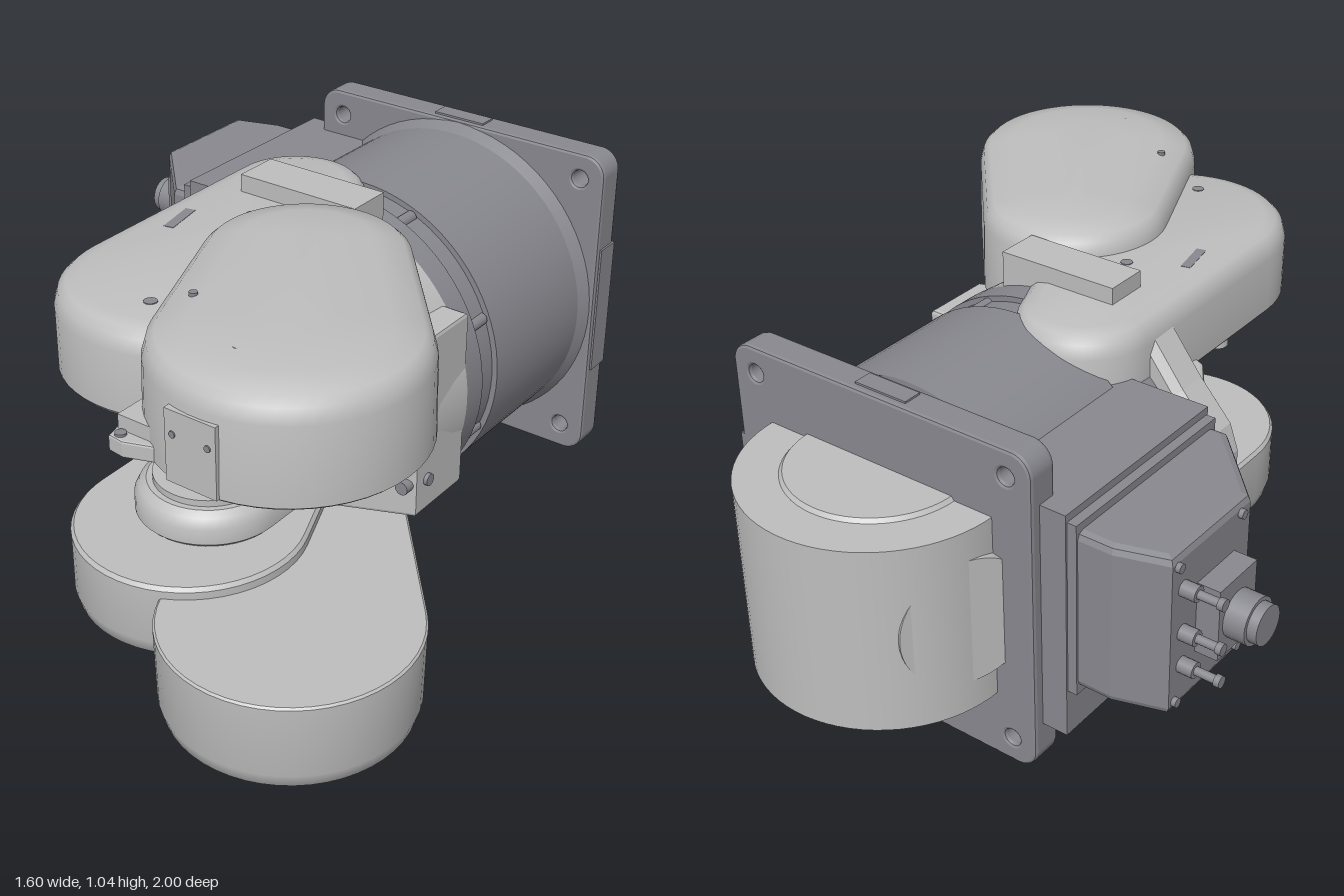
import * as THREE from 'three';
import { toCreasedNormals } from 'three/addons/utils/BufferGeometryUtils.js';

const MID = 0.52, CX = 0.09; // mirror height and main axis

// Outline around two circles [x, z, r], shrunk by an inset
function hull([x1, z1, r1], [x2, z2, r2], inset, n = 28) {
  const th = Math.atan2(z2 - z1, x2 - x1);
  const ph = Math.acos((r1 - r2) / Math.hypot(x2 - x1, z2 - z1));
  const pts = [];
  const arc = (x, z, r, a, b) => {
    for (let i = 0; i <= n; i++) {
      const t = a + (b - a) * i / n;
      pts.push([x + Math.cos(t) * (r - inset), z + Math.sin(t) * (r - inset)]);
    }
  };
  arc(x2, z2, r2, th - ph, th + ph);
  arc(x1, z1, r1, th + ph, th + 2 * Math.PI - ph);
  return pts;
}

// Stack of hull outlines; layers are [y, inset] from bottom to top
function loft(c1, c2, layers) {
  const rings = layers.map(([y, d]) => hull(c1, c2, d).map(([x, z]) => [x, y, z]));
  const pos = [], n = rings[0].length;
  const tri = (...p) => p.forEach(v => pos.push(...v));
  const middle = y => [(c1[0] + c2[0]) / 2, y, (c1[1] + c2[1]) / 2];
  const lo = rings[0], hi = rings[rings.length - 1];
  for (let j = 0; j < n; j++) {
    const k = (j + 1) % n;
    for (let i = 0; i + 1 < rings.length; i++) {
      const a = rings[i][j], b = rings[i][k], c = rings[i + 1][k], d = rings[i + 1][j];
      tri(a, d, b);
      tri(b, d, c);
    }
    tri(middle(lo[0][1]), lo[j], lo[k]);
    tri(middle(hi[0][1]), hi[k], hi[j]);
  }
  const g = new THREE.BufferGeometry();
  g.setAttribute('position', new THREE.Float32BufferAttribute(pos, 3));
  return toCreasedNormals(g, 0.6);
}

const flip = layers => layers.map(([y, d]) => [2 * MID - y, d]).reverse();

// Extrude an xz outline between two heights
function slab(pts, y0, y1, bevel = 0.01) {
  const s = new THREE.Shape(pts.map(([x, z]) => new THREE.Vector2(x, -z)));
  const g = new THREE.ExtrudeGeometry(s, {
    depth: y1 - y0 - 2 * bevel, bevelSize: bevel, bevelThickness: bevel, bevelOffset: -bevel, bevelSegments: 2 });
  return g.rotateX(-Math.PI / 2).translate(0, y0 + bevel, 0);
}

function roundRect(x0, y0, x1, y1, r) {
  const s = new THREE.Shape();
  s.moveTo(x0 + r, y0);
  s.lineTo(x1 - r, y0); s.absarc(x1 - r, y0 + r, r, -Math.PI / 2, 0);
  s.lineTo(x1, y1 - r); s.absarc(x1 - r, y1 - r, r, 0, Math.PI / 2);
  s.lineTo(x0 + r, y1); s.absarc(x0 + r, y1 - r, r, Math.PI / 2, Math.PI);
  s.lineTo(x0, y0 + r); s.absarc(x0 + r, y0 + r, r, Math.PI, Math.PI * 1.5);
  return s;
}

export function createModel() {
  const root = new THREE.Group();
  root.name = 'jointedArm';
  const light = new THREE.MeshStandardMaterial({ color: 0xbebebe, name: 'light grey' });
  const dark = new THREE.MeshStandardMaterial({ color: 0x88888f, name: 'dark grey' });

  const add = (name, geo, mat, x = 0, y = 0, z = 0) => {
    const m = new THREE.Mesh(geo, mat);
    m.name = name;
    m.position.set(x, y, z);
    root.add(m);
    return m;
  };
  const box = (name, mat, x0, x1, y0, y1, z0, z1) =>
    add(name, new THREE.BoxGeometry(x1 - x0, y1 - y0, z1 - z0), mat, (x0 + x1) / 2, (y0 + y1) / 2, (z0 + z1) / 2);
  const cyl = (name, mat, axis, rTop, rBottom, h, x, y, z, n = 48) => {
    const g = new THREE.CylinderGeometry(rTop, rBottom, h, n);
    if (axis === 'z') g.rotateX(Math.PI / 2);
    if (axis === 'x') g.rotateZ(Math.PI / 2);
    return add(name, g, mat, x, y, z);
  };

  // Mounting plate with corner holes
  const plate = roundRect(-0.355, 0.08, 0.535, 0.96, 0.055);
  for (const x of [-0.285, 0.465]) for (const y of [0.15, 0.89]) {
    const h = new THREE.Path();
    h.absarc(x, y, 0.022, 0, Math.PI * 2, true);
    plate.holes.push(h);
  }
  add('mountingPlate', new THREE.ExtrudeGeometry(plate, {
    depth: 0.065, bevelSize: 0.008, bevelThickness: 0.01, bevelOffset: -0.008, bevelSegments: 2 }), dark, 0, 0, -0.66);
  box('plateTopPad', dark, 0.01, 0.16, 0.95, 0.965, -0.65, -0.6);
  box('plateSidePad', dark, 0.45, 0.54, 0.34, 0.7, -0.67, -0.6);

  // Rear drum
  cyl('rearDrum', light, 'y', 0.335, 0.335, 0.5, CX, MID, -0.665, 72);
  cyl('rearDrumCap', light, 'y', 0.22, 0.23, 0.012, CX, 0.774, -0.665, 64);
  const side = cyl('rearDrumSideCover', light, 'x', 0.17, 0.17, 0.12, -0.18, MID, -0.72);
  side.rotation.y = -0.45;
  box('rearDrumLug', dark, 0.38, 0.44, 0.62, 0.69, -0.78, -0.66);
  cyl('rearDrumEye', light, 'y', 0.03, 0.03, 0.02, 0.42, 0.65, -0.74, 20);

  // Main barrel and swivel flange
  cyl('barrelFlare', dark, 'z', 0.42, 0.438, 0.04, CX, MID, -0.57, 72);
  cyl('barrel', dark, 'z', 0.42, 0.42, 0.44, CX, MID, -0.36, 72);
  cyl('barrelGroove', dark, 'z', 0.405, 0.405, 0.08, CX, MID, -0.11, 72);
  cyl('swivelFlange', dark, 'z', 0.42, 0.42, 0.07, CX, MID, -0.035, 72);
  for (let i = 0; i < 8; i++) {
    const a = (i + 0.5) * Math.PI / 4;
    cyl('flangeBolt', dark, 'z', 0.016, 0.016, 0.07, CX + 0.4 * Math.cos(a), MID + 0.4 * Math.sin(a), -0.1, 12);
  }

  // Side gearbox, motor cover and connectors
  box('sideGearbox', dark, -0.425, 0.05, 0.21, 0.83, -0.64, -0.08);
  add('motorCover', slab([[-0.41, -0.63], [-0.54, -0.63], [-0.67, -0.59], [-0.67, -0.28], [-0.49, -0.09], [-0.41, -0.09]],
    0.36, 0.79, 0.02), dark);
  box('coverRib', dark, -0.45, -0.42, 0.34, 0.81, -0.635, -0.085);
  box('connectorBlock', dark, -0.73, -0.66, 0.48, 0.67, -0.49, -0.34);
  cyl('connectorCollar', dark, 'x', 0.06, 0.06, 0.06, -0.755, 0.57, -0.415, 24);
  cyl('connectorCap', dark, 'x', 0.05, 0.05, 0.04, -0.79, 0.57, -0.415, 24);
  for (const y of [0.48, 0.57, 0.69]) {
    cyl('plugStem', dark, 'x', 0.011, 0.011, 0.11, -0.715, y, -0.545, 12);
    cyl('plugCollar', dark, 'x', 0.02, 0.02, 0.04, -0.69, y, -0.545, 16);
    cyl('plugTip', dark, 'x', 0.015, 0.015, 0.015, -0.77, y, -0.545, 12);
  }
  for (const y of [0.39, 0.76]) for (const z of [-0.57, -0.32])
    cyl('coverBolt', dark, 'x', 0.012, 0.012, 0.02, -0.672, y, z, 12);

  // Swivel head between the arms
  cyl('headBase', light, 'z', 0.41, 0.42, 0.13, CX, MID, 0.065, 72);
  cyl('headShoulder', light, 'z', 0.37, 0.41, 0.06, CX, MID, 0.16, 72);
  add('headBlock', slab([[-0.33, 0], [-0.33, 0.06], [-0.24, 0.19], [0.03, 0.31], [0.24, 0.31], [0.5, 0.2], [0.5, 0]],
    0.28, 0.76), light);
  const ear = new THREE.Shape([[-0.415, 0.44], [-0.2, 0.12], [-0.1, 0.12], [-0.1, 0.92], [-0.2, 0.92],
    [-0.3, 0.79], [-0.39, 0.69], [-0.415, 0.62]].map(p => new THREE.Vector2(...p)));
  add('headEar', new THREE.ExtrudeGeometry(ear, { depth: 0.08, bevelSize: 0.02, bevelThickness: 0.02, bevelOffset: -0.02, bevelSegments: 1 }), light, 0, 0, 0.005);
  for (const y of [0.37, 0.67]) {
    cyl('headBolt', dark, 'z', 0.018, 0.018, 0.03, -0.28, y, 0.14, 14);
    cyl('headBolt', dark, 'z', 0.018, 0.018, 0.03, 0.475, y, 0.215, 14);
    cyl('headSideBolt', dark, 'x', 0.016, 0.016, 0.015, 0.503, y, 0.155, 14);
  }
  for (const y of [0.49, 0.55]) cyl('earBolt', dark, 'z', 0.012, 0.012, 0.012, -0.375, y, 0.103, 12);
  box('topBracket', light, -0.09, 0.25, 0.88, 1.005, 0, 0.12);

  // Mirrored arm pairs
  const innerLayers = [[0.74, 0.008], [0.75, 0], [0.9, 0], [0.935, 0.01], [0.952, 0.028], [0.96, 0.06]];
  const outerLayers = [[0.77, 0.005], [0.775, 0], [0.96, 0.004], [0.995, 0.014], [1.012, 0.032], [1.028, 0.1], [1.038, 0.22]];
  const wristLayers = [[0.652, 0.03], [0.665, 0.012], [0.69, 0], [0.73, 0], [0.75, 0.02]];
  for (const up of [true, false]) {
    const tag = up ? 'upper' : 'lower';
    const L = l => up ? l : flip(l);
    const Y = y => up ? y : 2 * MID - y;
    add(tag + 'InnerArm', loft([-0.035, -0.03, 0.18], [0.08, 0.545, 0.29], L(innerLayers)), light);
    add(tag + 'OuterArm', loft([0.28, 0.35, 0.25], [0.485, 0.685, 0.31], L(outerLayers)), light);
    add(tag + 'WristArm', loft([0.085, 0.475, 0.185], [0.17, 0.25, 0.1], L(wristLayers)), light);
    cyl(tag + 'WristDisc', light, 'y', 0.14, 0.14, 0.02, 0.085, Y(0.645), 0.475);
    cyl(tag + 'WristHub', light, 'y', 0.075, 0.075, 0.05, 0.085, Y(0.625), 0.5, 32);
    // Cover slots and screws
    const slot = (x, y, z, len, rot) => {
      const m = add(tag + 'CoverSlot', new THREE.BoxGeometry(0.026, 0.008, len), dark, x, Y(y), z);
      m.rotation.y = rot;
    };
    slot(-0.11, 0.957, 0.33, 0.11, 0.2);
    slot(0.685, 1.018, 0.665, 0.11, 0);
    for (const [x, z] of [[0.25, 0.31], [0.34, 0.31], [0.47, 0.485], [0.47, 0.84], [0.25, 0.71]])
      cyl(tag + 'CoverScrew', dark, 'y', 0.01, 0.01, 0.012, x, Y(1.026), z, 12);
    for (const [x, z] of [[0.015, 0.21], [0.115, 0.695]])
      cyl(tag + 'CoverScrew', dark, 'y', 0.016, 0.016, 0.01, x, Y(0.957), z, 12);
  }

  // Front plate and cable tab on the upper outer arm
  box('frontPlate', light, 0.41, 0.54, 0.775, 0.945, 0.975, 0.998);
  for (const x of [0.43, 0.52]) cyl('frontPlateScrew', dark, 'z', 0.008, 0.008, 0.008, x, 0.89, 0.997, 10);
  add('cableTab', slab([[0.21, 0.86], [0.24, 0.98], [0.28, 0.985], [0.35, 0.96], [0.36, 0.86]], 0.77, 0.81, 0.005), light);
  box('cableTabBlock', light, 0.24, 0.34, 0.8, 0.845, 0.86, 0.95);
  cyl('cableTabPin', dark, 'y', 0.013, 0.013, 0.008, 0.26, 0.812, 0.965, 12);
  cyl('armStop', light, 'y', 0.03, 0.03, 0.05, -0.16, 0.73, 0.38, 16);
  return root;
}
